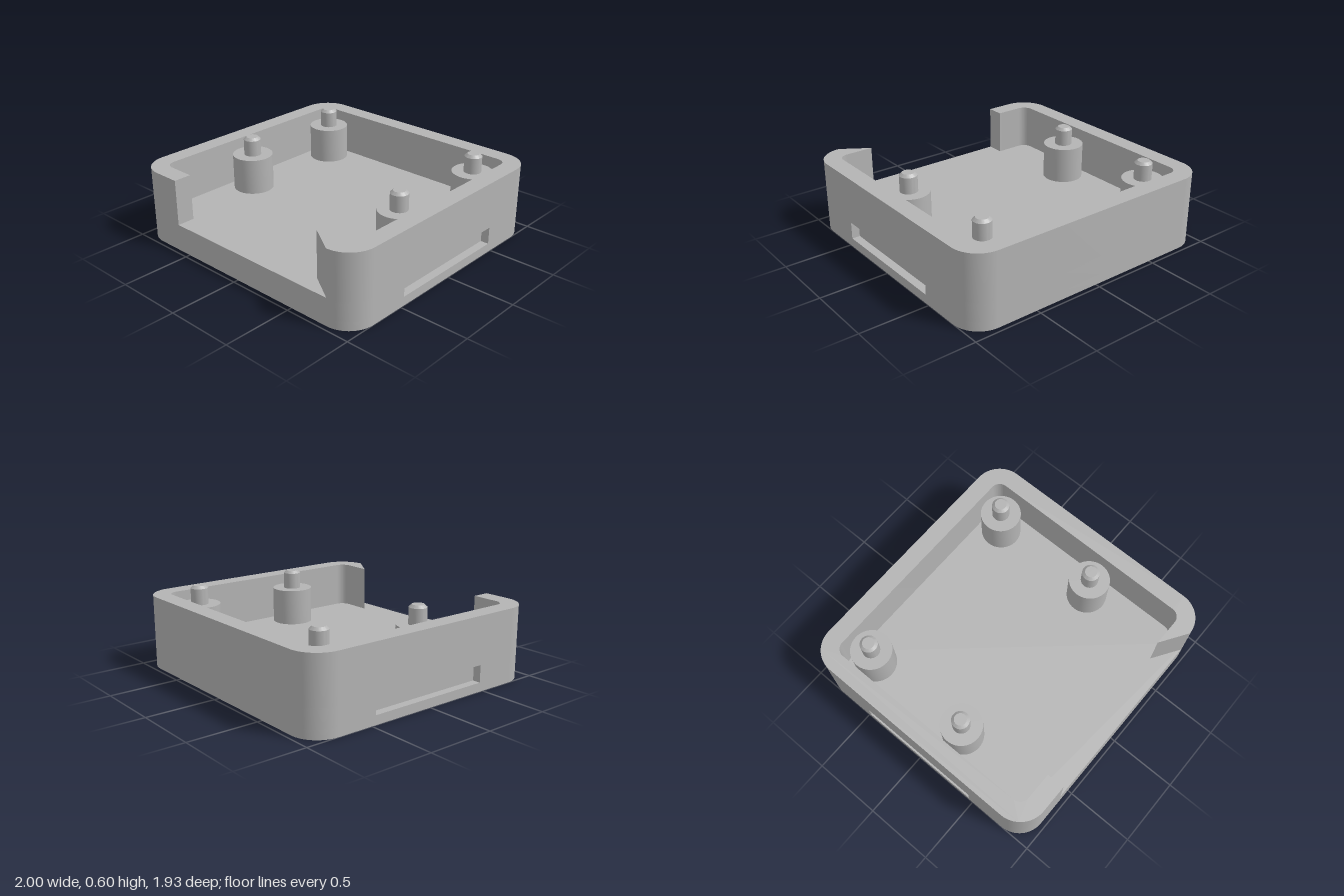
import * as THREE from 'three';
import { toCreasedNormals } from 'three/addons/utils/BufferGeometryUtils.js';

const W = 1, D = 0.965, R = 0.2;           // outer half sizes and corner radius
const IW = 0.87, ID = 0.835, IR = 0.07;    // inner half sizes and corner radius
const FLOOR = 0.2, TOP = 0.535;
const SLOT = { half: 0.47, depth: 0.06, y0: 0.065, y1: 0.19 };
const GAP = 0.6;                           // half width of the front opening

// Outer outline, optionally with a recess cut into each side
function outline(recessed) {
  const s = new THREE.Shape();
  const { half: h, depth: d } = SLOT;
  s.moveTo(-W + R, -D);
  s.absarc(W - R, -D + R, R, -Math.PI / 2, 0);
  if (recessed) [[W, -h], [W - d, -h], [W - d, h], [W, h]].forEach(p => s.lineTo(...p));
  s.absarc(W - R, D - R, R, 0, Math.PI / 2);
  s.absarc(-W + R, D - R, R, Math.PI / 2, Math.PI);
  if (recessed) [[-W, h], [-W + d, h], [-W + d, -h], [-W, -h]].forEach(p => s.lineTo(...p));
  s.absarc(-W + R, -D + R, R, Math.PI, Math.PI * 1.5);
  return s;
}

// C-shaped wall outline, open at the front
function wallOutline() {
  const s = new THREE.Shape(), q = Math.PI / 2;
  s.moveTo(GAP, -D);
  s.absarc(W - R, -D + R, R, -q, 0);
  s.absarc(W - R, D - R, R, 0, q);
  s.absarc(-W + R, D - R, R, q, 2 * q);
  s.absarc(-W + R, -D + R, R, 2 * q, 3 * q);
  s.lineTo(-GAP, -D);
  s.lineTo(-GAP, -ID);
  s.absarc(-IW + IR, -ID + IR, IR, 3 * q, 2 * q, true);
  s.absarc(-IW + IR, ID - IR, IR, 2 * q, q, true);
  s.absarc(IW - IR, ID - IR, IR, q, 0, true);
  s.absarc(IW - IR, -ID + IR, IR, 0, -q, true);
  s.lineTo(GAP, -ID);
  s.closePath();
  return s;
}

export function createModel() {
  const model = new THREE.Group();
  model.name = 'enclosureBase';
  const grey = new THREE.MeshStandardMaterial({ color: 0xb3b3b3 });
  grey.name = 'grey plastic';

  const add = (name, geometry, x = 0, z = 0) => {
    const mesh = new THREE.Mesh(toCreasedNormals(geometry, 0.5), grey);
    mesh.name = name;
    mesh.position.set(x, 0, z);
    model.add(mesh);
  };
  const layer = (name, shape, y0, y1) => {
    const g = new THREE.ExtrudeGeometry(shape, { depth: y1 - y0, bevelEnabled: false, curveSegments: 16 });
    add(name, g.rotateX(-Math.PI / 2).translate(0, y0, 0));
  };

  // Thick base with a long shallow recess in each side
  layer('basePlate', outline(false), 0, SLOT.y0);
  layer('recessedBase', outline(true), SLOT.y0, SLOT.y1);
  layer('floor', outline(false), SLOT.y1, FLOOR);

  // Surrounding wall
  layer('wall', wallOutline(), FLOOR, TOP);

  // Four standoffs with chamfered locating pins
  const lathe = pts => new THREE.LatheGeometry(pts.map(p => new THREE.Vector2(...p)), 48);
  for (const x of [-0.7, 0.7]) {
    for (const z of [-0.67, 0.165]) {
      add('standoff', lathe([[0.148, FLOOR], [0.148, 0.465], [0, 0.465]]), x, z);
      add('locatingPin', lathe([[0.063, 0.465], [0.063, 0.583], [0.043, 0.602], [0, 0.602]]), x, z);
    }
  }
  return model;
}
